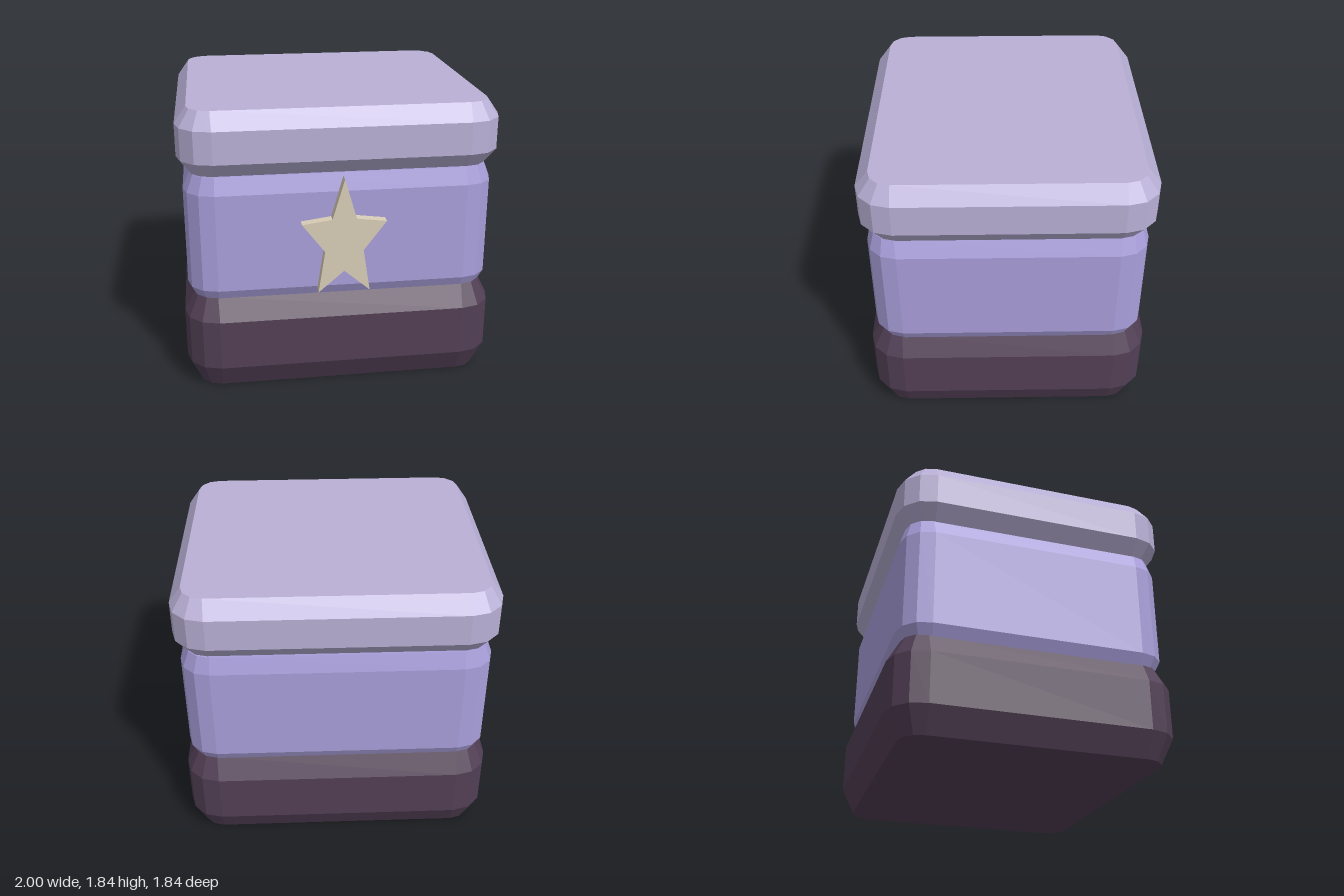
import * as THREE from 'three';

const material = (name, color) => {
  const m = new THREE.MeshStandardMaterial({ color, flatShading: true });
  m.name = name;
  return m;
};

// Outline of a rectangle with faceted round corners at one height
function ring([y, hx, hz, r], segments = 3) {
  const points = [];
  const corners = [[1, 1], [-1, 1], [-1, -1], [1, -1]];
  corners.forEach(([sx, sz], q) => {
    for (let i = 0; i <= segments; i++) {
      const a = (q + i / segments) * Math.PI / 2;
      points.push([sx * (hx - r) + r * Math.cos(a), y, sz * (hz - r) + r * Math.sin(a)]);
    }
  });
  return points;
}

// Closed solid through outlines listed from bottom to top
function loft(levels) {
  const rings = levels.map((level) => ring(level));
  const n = rings[0].length;
  const top = rings.length - 1;
  const out = [];
  const tri = (...corners) => corners.forEach((p) => out.push(...p));
  for (let i = 0; i < n; i++) {
    const j = (i + 1) % n;
    for (let k = 0; k < top; k++) {
      tri(rings[k][i], rings[k + 1][i], rings[k + 1][j]);
      tri(rings[k][i], rings[k + 1][j], rings[k][j]);
    }
    tri([0, levels[0][0], 0], rings[0][i], rings[0][j]);
    tri([0, levels[top][0], 0], rings[top][j], rings[top][i]);
  }
  const geometry = new THREE.BufferGeometry();
  geometry.setAttribute('position', new THREE.Float32BufferAttribute(out, 3));
  geometry.computeVertexNormals();
  return geometry;
}

export function createModel() {
  const group = new THREE.Group();
  const add = (name, geometry, mat, z) => {
    const mesh = new THREE.Mesh(geometry, mat);
    mesh.name = name;
    mesh.position.z = z;
    group.add(mesh);
  };

  // Dark base; each level is height, half width, half depth, corner radius
  add('base', loft([
    [0, 0.925, 0.825, 0.14],
    [0.165, 1, 0.91, 0.22],
    [0.49, 1, 0.91, 0.22],
    [0.635, 0.925, 0.83, 0.14],
  ]), material('dark plum', 0x523f55), -0.01);

  // Box body
  add('body', loft([
    [0.58, 0.915, 0.81, 0.14],
    [0.69, 0.97, 0.867, 0.19],
    [1.32, 0.97, 0.867, 0.19],
    [1.43, 0.925, 0.835, 0.15],
  ]), material('violet', 0xa99fdb), -0.01);

  // Lid
  add('lid', loft([
    [1.425, 0.925, 0.815, 0.14],
    [1.527, 1, 0.902, 0.22],
    [1.73, 1, 0.902, 0.22],
    [1.835, 0.925, 0.818, 0.14],
  ]), material('pale lilac', 0xb9b0d6), -0.01);

  // Raised star on the front
  const half = [[0, 1.415], [0.075, 1.16], [0.262, 1.135], [0.12, 0.948], [0.162, 0.675], [0, 0.815]];
  const mirrored = half.slice(1, -1).reverse().map(([x, y]) => [-x, y]);
  const outline = [...half, ...mirrored].map(([x, y]) => new THREE.Vector2(x, y));
  const star = new THREE.ExtrudeGeometry(new THREE.Shape(outline), { depth: 0.07, bevelEnabled: false });
  add('star', star, material('sand', 0xd9cdb8), 0.85);

  return group;
}
